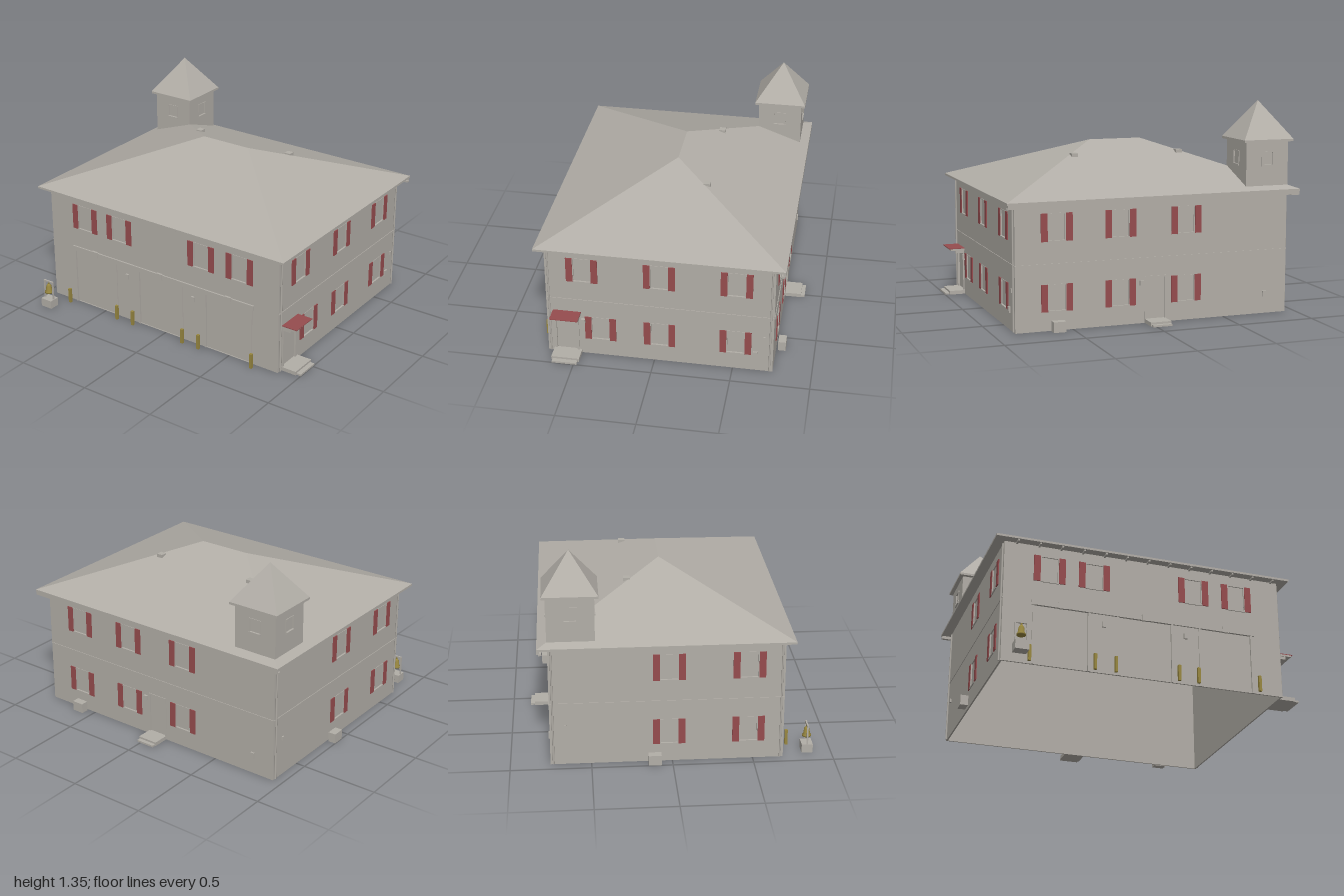
import * as THREE from 'three';

const mat = (name, color) => {
  const m = new THREE.MeshStandardMaterial({ color });
  m.name = name;
  return m;
};

export function createModel() {
  const grey = mat('stone grey', 0xb2aea7);
  const red = mat('shutter red', 0x964c4e);
  const gold = mat('brass yellow', 0x988740);
  const model = new THREE.Group();
  model.name = 'fireStation';

  const add = (parent, name, geo, m = grey) => {
    const mesh = new THREE.Mesh(geo, m);
    mesh.name = name;
    parent.add(mesh);
    return mesh;
  };
  // Box given by its minimum and maximum on each axis
  const box = (parent, name, x0, x1, y0, y1, z0, z1, m = grey) => {
    const geo = new THREE.BoxGeometry(x1 - x0, y1 - y0, z1 - z0);
    geo.translate((x0 + x1) / 2, (y0 + y1) / 2, (z0 + z1) / 2);
    return add(parent, name, geo, m);
  };
  // Flat-shaded surface from polygons (fans of corner points)
  const facets = (polys) => {
    const pos = [];
    for (const p of polys)
      for (let i = 1; i < p.length - 1; i++) pos.push(...p[0], ...p[i], ...p[i + 1]);
    const geo = new THREE.BufferGeometry();
    geo.setAttribute('position', new THREE.Float32BufferAttribute(pos, 3));
    geo.computeVertexNormals();
    return geo;
  };

  // Thin wall with rectangular openings [x0, x1, y0, y1]; local +z is outward
  const wall = (name, x, z, turn, x0, x1, y0, y1, openings) => {
    const g = new THREE.Group();
    g.name = name;
    g.position.set(x, 0, z);
    g.rotation.y = turn;
    model.add(g);
    const s = new THREE.Shape([[x0, y0], [x1, y0], [x1, y1], [x0, y1]].map((p) => new THREE.Vector2(...p)));
    for (const [a, b, c, d] of openings)
      s.holes.push(new THREE.Path([[a, c], [a, d], [b, d], [b, c]].map((p) => new THREE.Vector2(...p))));
    const geo = new THREE.ExtrudeGeometry(s, { depth: 0.01, bevelEnabled: false });
    geo.translate(0, 0, -0.01);
    add(g, name + 'Panel', geo);
    for (const [a, b, c, d] of openings) box(g, 'recessedPane', a, b, c, d, -0.01, -0.005);
    return g;
  };
  // Raised trim around an opening
  const frame = (g, [a, b, c, d], t, depth, sill = true) => {
    box(g, 'frameSide', a, a + t, c, d, -0.008, depth);
    box(g, 'frameSide', b - t, b, c, d, -0.008, depth);
    box(g, 'frameTop', a, b, d - t, d, -0.008, depth);
    if (sill) box(g, 'windowSill', a, b, c - 0.004, c + t, -0.008, depth + 0.004);
  };

  const UP = [0.548, 0.72], LOW = [0.118, 0.286];
  const opening = (c, [y0, y1]) => [c - 0.058, c + 0.058, y0, y1];
  const houseWall = (name, x, z, turn, x0, x1, upper, lower, extra = []) => {
    const wins = [...upper.map((c) => opening(c, UP)), ...lower.map((c) => opening(c, LOW))];
    const g = wall(name, x, z, turn, x0, x1, 0, 0.785, [...wins, ...extra]);
    for (const w of wins) {
      frame(g, w, 0.006, 0.003);
      box(g, 'shutter', w[0] - 0.042, w[0], w[2], w[3], -0.002, 0.006, red);
      box(g, 'shutter', w[1], w[1] + 0.042, w[2], w[3], -0.002, 0.006, red);
    }
    return g;
  };

  // Main walls
  const X0 = -0.937, X1 = 0.864, Z0 = -0.753, Z1 = 0.69;
  const garage = [-0.5725, -0.0375, 0.4925].map((c) => [c - 0.168, c + 0.168, 0.003, 0.384]);
  const sideDoor = [-0.63, -0.5, 0.025, 0.285];
  const backDoor = [-0.02, 0.1, 0.025, 0.285];
  const front = houseWall('frontWall', 0, Z1, 0, X0, X1, [-0.65, -0.365, 0.285, 0.575], [], garage);
  const right = houseWall('leftSideWall', X1, 0, Math.PI / 2, -Z1, -Z0,
    [-0.455, 0.033, 0.515], [-0.345, 0.033, 0.515], [sideDoor]);
  const back = houseWall('backWall', 0, Z0, Math.PI, -X1, -X0,
    [-0.6, -0.19, 0.245], [-0.6, -0.19, 0.245], [backDoor]);
  const left = houseWall('rightSideWall', X0, 0, -Math.PI / 2, Z0, Z1, [-0.02, 0.47], [-0.02, 0.47]);

  // Floor band and corner downpipes
  box(right, 'floorBand', -Z1, -Z0, 0.405, 0.413, -0.002, 0.004);
  box(back, 'floorBand', -X1, -X0, 0.405, 0.413, -0.002, 0.004);
  box(left, 'floorBand', Z0, Z1, 0.405, 0.413, -0.002, 0.004);
  for (const [x, z] of [[X0 - 0.005, Z0 + 0.02], [X1 + 0.005, Z0 + 0.02], [X0 - 0.005, Z1 - 0.02], [X1 + 0.005, Z1 - 0.02]]) {
    const pipe = add(model, 'downpipe', new THREE.CylinderGeometry(0.006, 0.006, 0.77, 8));
    pipe.position.set(x, 0.39, z);
  }

  // Garage doors: lintel, posts, lamps, switch boxes and bollards
  box(front, 'garageLintel', -0.76, 0.685, 0.384, 0.415, -0.002, 0.01);
  for (const d of garage) {
    const c = (d[0] + d[1]) / 2;
    box(front, 'doorPost', d[0] - 0.012, d[0], 0, 0.384, -0.002, 0.006);
    box(front, 'doorPost', d[1], d[1] + 0.012, 0, 0.384, -0.002, 0.006);
    box(front, 'doorLamp', c - 0.022, c + 0.022, 0.38, 0.42, 0, 0.014);
    for (const s of [-1, 1]) box(model, 'bollard', c + s * 0.202 - 0.009, c + s * 0.202 + 0.009, 0, 0.1, 0.726, 0.744, gold);
  }
  for (const x of [-0.305, 0.225]) box(front, 'switchBox', x - 0.011, x + 0.011, 0.3, 0.335, 0, 0.012);

  // Side entrance with canopy and steps
  frame(right, [-0.645, -0.485, 0.025, 0.3], 0.015, 0.008, false);
  box(right, 'canopy', -0.65, -0.47, 0.3, 0.312, 0, 0.095);
  box(right, 'canopyRoof', -0.65, -0.47, 0.312, 0.317, 0, 0.105, red);
  for (const x of [-0.64, -0.49]) box(right, 'canopyBracket', x - 0.005, x + 0.005, 0.28, 0.3, 0, 0.06);
  box(right, 'upperStep', -0.65, -0.47, 0, 0.025, 0, 0.105);
  box(right, 'lowerStep', -0.64, -0.48, 0, 0.012, 0.105, 0.136);
  box(right, 'wallLamp', -0.467, -0.442, 0.24, 0.272, 0, 0.02);
  box(right, 'meterBox', 0.627, 0.657, 0.107, 0.145, 0, 0.012);
  box(right, 'vent', 0.69, 0.702, 0.24, 0.265, 0, 0.01);

  // Back entrance, service boxes
  frame(back, [-0.03, 0.11, 0.025, 0.295], 0.01, 0.004, false);
  box(back, 'upperStep', -0.03, 0.105, 0, 0.025, 0, 0.107);
  box(back, 'lowerStep', -0.025, 0.1, 0, 0.012, 0.107, 0.132);
  box(back, 'wallLamp', -0.065, -0.04, 0.24, 0.272, 0, 0.015);
  box(back, 'coolingUnit', -0.64, -0.56, 0, 0.065, 0.012, 0.062);
  box(back, 'meterBox', 0.775, 0.8, 0.107, 0.145, 0, 0.01);
  box(left, 'coolingUnit', -0.15, -0.07, 0, 0.065, 0.012, 0.062);
  box(left, 'vent', -0.665, -0.65, 0.24, 0.265, 0, 0.01);

  // Hipped roof with a flat soffit
  const rx0 = -1, rx1 = 0.925, rz0 = -0.815, rz1 = 0.745, ye = 0.8, yb = 0.786;
  const A = [rx0, ye, rz1], B = [rx1, ye, rz1], C = [rx1, ye, rz0], D = [rx0, ye, rz0];
  const R = [-0.21, 1.08, -0.035], S = [0.14, 1.08, -0.035];
  const low = (p) => [p[0], yb, p[2]];
  add(model, 'mainRoof', facets([
    [A, B, S, R], [B, C, S], [C, D, R, S], [D, A, R],
    [low(A), low(B), B, A], [low(B), low(C), C, B], [low(C), low(D), D, C], [low(D), low(A), A, D],
    [low(D), low(C), low(B), low(A)],
  ]));
  // Gutters and rafter ends under the eaves
  box(model, 'backGutter', rx0 + 0.005, rx1 - 0.005, 0.765, yb, rz0, rz0 + 0.018);
  for (const x of [rx0, rx1 - 0.055]) box(model, 'gutterEnd', x, x + 0.055, 0.76, 0.772, rz0 + 0.01, rz0 + 0.03);
  for (let x = -0.86; x < 0.85; x += 0.14) box(model, 'rafterEnd', x - 0.005, x + 0.005, 0.776, yb, Z1, rz1 - 0.008);

  // Roof vents
  for (const x of [-0.397, 0.32]) box(model, 'roofVent', x - 0.021, x + 0.021, 0.97, 1.018, -0.27, -0.228);

  // Corner tower with four windows and a pyramid roof
  const tx = -0.795, tz = -0.61, h = 0.145;
  const win = [-0.042, 0.042, 0.948, 1.04];
  for (let i = 0; i < 4; i++) {
    const a = (i * Math.PI) / 2;
    const g = wall('towerWall', tx + Math.sin(a) * h, tz + Math.cos(a) * h, a, -h, h, 0.787, 1.1, [win]);
    frame(g, win, 0.006, 0.004);
  }
  const e = 0.17;
  box(model, 'towerEave', tx - e, tx + e, 1.1, 1.115, tz - e, tz + e);
  const spire = new THREE.ConeGeometry(e * Math.SQRT2, 0.237, 4).rotateY(Math.PI / 4).toNonIndexed();
  spire.computeVertexNormals();
  add(model, 'towerRoof', spire).position.set(tx, 1.2335, tz);

  // Memorial bell on a plinth
  const bell = new THREE.Group();
  bell.name = 'bellMonument';
  bell.position.set(-0.858, 0, 0.85);
  model.add(bell);
  box(bell, 'plinth', -0.042, 0.042, 0, 0.056, -0.035, 0.035);
  for (const x of [-0.039, 0.031]) box(bell, 'bellPost', x, x + 0.008, 0.056, 0.185, -0.005, 0.005);
  box(bell, 'bellBeam', -0.039, 0.039, 0.175, 0.185, -0.005, 0.005);
  const profile = [[0, 0.098], [0.028, 0.098], [0.028, 0.107], [0.021, 0.115], [0.017, 0.148], [0.01, 0.16], [0, 0.163]];
  add(bell, 'bell', new THREE.LatheGeometry(profile.map((p) => new THREE.Vector2(...p)), 16), gold);
  box(bell, 'bellHanger', -0.004, 0.004, 0.16, 0.176, -0.004, 0.004, gold);

  return model;
}
